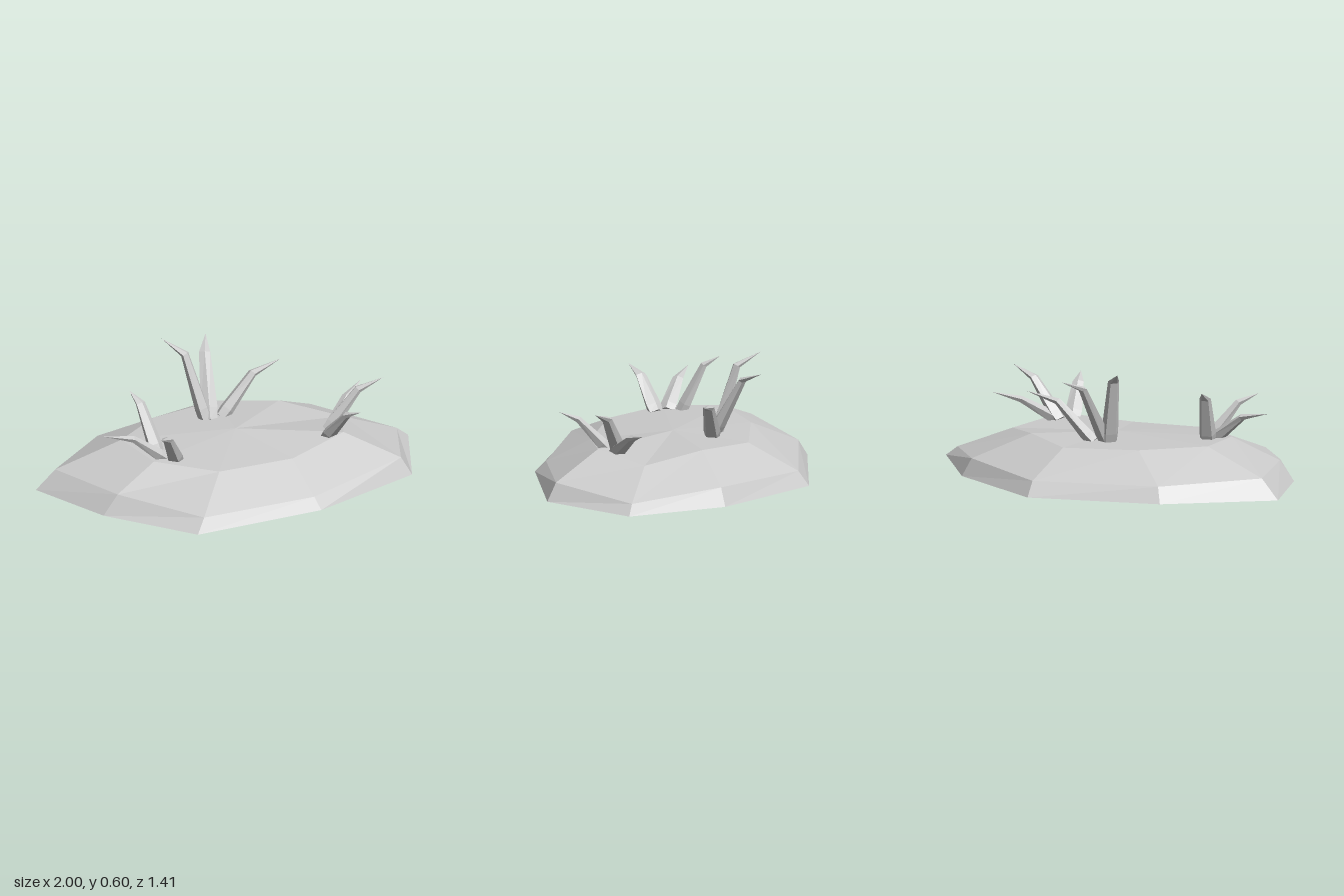
import * as THREE from 'three';

const stone = new THREE.MeshStandardMaterial({ color: 0xcccccc });
stone.name = 'pale grey';

// Flat-shaded skin over rings of points (counter-clockwise seen from the end), closed to a tip and a base point
function loft(name, rings, tip, base) {
  const pos = [];
  const tri = (...pts) => pts.forEach((p) => pos.push(p.x, p.y, p.z));
  const n = rings[0].length;
  const last = rings[rings.length - 1];
  for (let i = 0; i < n; i++) {
    const j = (i + 1) % n;
    for (let r = 0; r + 1 < rings.length; r++) {
      const a = rings[r], b = rings[r + 1];
      tri(a[i], a[j], b[j]);
      tri(a[i], b[j], b[i]);
    }
    tri(last[i], last[j], tip);
    tri(rings[0][j], rings[0][i], base);
  }
  const geometry = new THREE.BufferGeometry();
  geometry.setAttribute('position', new THREE.Float32BufferAttribute(pos, 3));
  geometry.computeVertexNormals();
  const mesh = new THREE.Mesh(geometry, stone);
  mesh.name = name;
  return mesh;
}

const v = (p) => new THREE.Vector3(...p);

// Bent five-sided blade: flared foot, flattened knee, sharp tip
function blade(name, base, knee, tip) {
  const b = v(base), k = v(knee), t = v(tip);
  const lean = t.clone().sub(b);
  const lateral = new THREE.Vector3(lean.z, 0, -lean.x).normalize();
  const ring = (centre, tangent, width, depth) => {
    const normal = tangent.clone().normalize().cross(lateral);
    return Array.from({ length: 5 }, (_, i) => {
      const a = (i / 5) * Math.PI * 2 + Math.PI / 2;
      return centre.clone()
        .addScaledVector(lateral, Math.cos(a) * width)
        .addScaledVector(normal, Math.sin(a) * depth);
    });
  };
  const shaft = k.clone().sub(b);
  const foot = b.clone().addScaledVector(shaft, 0.18);
  return loft(name, [
    ring(b, shaft, 0.04, 0.03),
    ring(foot, shaft, 0.045, 0.032),
    ring(k, lean, 0.03, 0.017),
  ], t, b);
}

export function createModel() {
  const model = new THREE.Group();
  model.name = 'spikyMound';

  // Irregular nine-sided mound: ground outline, low rim, upper shoulder
  const outline = [
    [-1, 0, -0.21], [-0.51, 0, -0.56], [0.16, 0, -0.71], [0.69, 0, -0.39], [0.995, 0, 0.04],
    [0.765, 0, 0.51], [0.14, 0, 0.705], [-0.56, 0, 0.695], [-0.86, 0, 0.25],
  ];
  const rim = [
    [-0.9, 0.1, -0.19], [-0.48, 0.08, -0.52], [0.16, 0.075, -0.655], [0.65, 0.09, -0.36], [0.93, 0.05, 0.04],
    [0.72, 0.09, 0.475], [0.13, 0.055, 0.65], [-0.5, 0.065, 0.65], [-0.78, 0.1, 0.25],
  ];
  const shoulder = [
    [-0.56, 0.22, -0.12], [-0.27, 0.21, -0.32], [0.12, 0.2, -0.39], [0.39, 0.215, -0.21], [0.62, 0.175, 0.04],
    [0.48, 0.215, 0.31], [0.13, 0.18, 0.42], [-0.29, 0.19, 0.42], [-0.54, 0.21, 0.19],
  ];
  const rings = [outline, rim, shoulder].map((r) => r.map(v).reverse());
  model.add(loft('mound', rings, v([0.02, 0.22, 0.02]), v([0, 0, 0])));

  // Three clusters of three blades: base, knee, tip
  const clusters = {
    backCluster: [
      [[-0.04, 0.2, -0.19], [-0.11, 0.54, -0.28], [-0.185, 0.6, -0.39]],
      [[-0.02, 0.2, -0.18], [0.035, 0.5, -0.34], [0.1, 0.55, -0.45]],
      [[0.05, 0.2, -0.19], [0.24, 0.395, -0.21], [0.41, 0.435, -0.225]],
    ],
    rightCluster: [
      [[-0.46, 0.2, 0.08], [-0.5, 0.44, -0.03], [-0.52, 0.485, -0.11]],
      [[-0.46, 0.2, 0.15], [-0.63, 0.33, 0.13], [-0.785, 0.365, 0.11]],
      [[-0.42, 0.2, 0.2], [-0.52, 0.365, 0.3], [-0.6, 0.405, 0.38]],
    ],
    leftCluster: [
      [[0.4, 0.2, 0.28], [0.44, 0.355, 0.42], [0.47, 0.395, 0.51]],
      [[0.46, 0.2, 0.22], [0.61, 0.31, 0.11], [0.73, 0.35, 0.03]],
      [[0.44, 0.2, 0.21], [0.6, 0.4, 0.24], [0.73, 0.45, 0.27]],
    ],
  };
  for (const [name, blades] of Object.entries(clusters)) {
    const group = new THREE.Group();
    group.name = name;
    blades.forEach((points, i) => group.add(blade(`blade${i + 1}`, ...points)));
    model.add(group);
  }
  return model;
}
